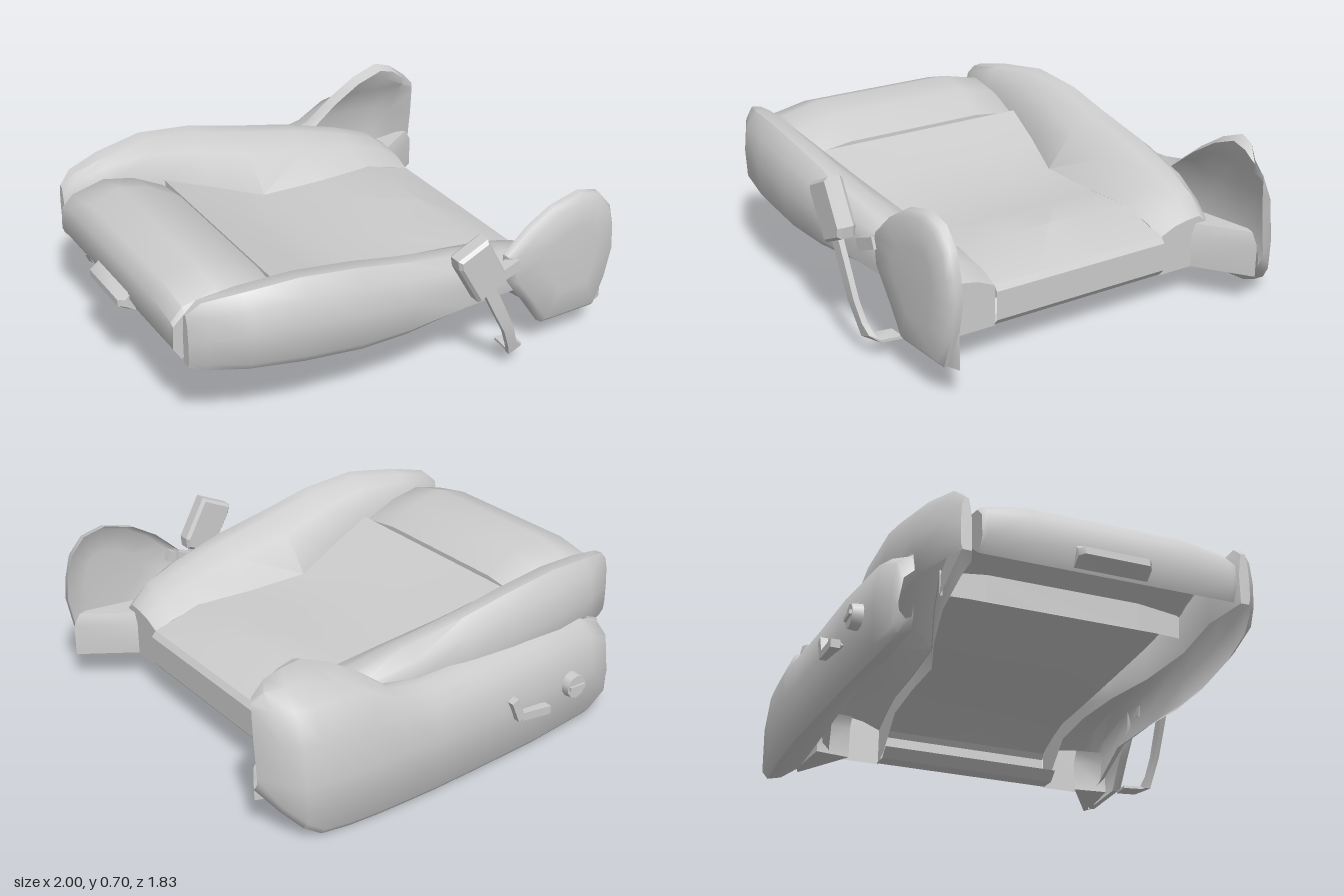
import * as THREE from 'three';
import { toCreasedNormals } from 'three/addons/utils/BufferGeometryUtils.js';

const material = new THREE.MeshStandardMaterial({ color: 0xcccccc, side: THREE.DoubleSide });
const MID = 0.037; // centre line of the cushion

function mesh(name, geometry, parent) {
  const m = new THREE.Mesh(geometry, material);
  m.name = name;
  parent.add(m);
  return m;
}

// Skin through rows of [x, y, z] points; optionally closes both ends to their centre
function loft(rows, { caps = false, ring = false, crease = 0.75 } = {}) {
  const centre = row => {
    const c = [0, 1, 2].map(k => row.reduce((s, p) => s + p[k], 0) / row.length);
    return row.map(() => c);
  };
  const all = caps ? [centre(rows[0]), ...rows, centre(rows[rows.length - 1])] : rows;
  const n = all[0].length, index = [];
  for (let i = 0; i < all.length - 1; i++) {
    for (let j = 0; j < (ring ? n : n - 1); j++) {
      const a = i * n + j, b = i * n + (j + 1) % n, c = a + n, d = b + n;
      index.push(a, b, d, a, d, c);
    }
  }
  const g = new THREE.BufferGeometry();
  g.setAttribute('position', new THREE.Float32BufferAttribute(all.flat(2), 3));
  g.setIndex(index);
  return toCreasedNormals(g, crease);
}

export function createModel() {
  const seat = new THREE.Group();
  seat.name = 'seatBase';

  // Thigh support: domed pad with drooping ends and an open underside
  const thighProfile = [[-0.92, 0.35], [-0.955, 0.42], [-0.95, 0.54], [-0.9, 0.6], [-0.76, 0.64],
    [-0.62, 0.605], [-0.48, 0.52], [-0.475, 0.4]];
  const thighRows = [[-0.54, 0.06], [-0.52, 0.04], [-0.34, 0], [0.34, 0], [0.52, 0.04], [0.54, 0.06]]
    .map(([z, droop]) => thighProfile.map(([x, y]) => [x, y - droop * (y - 0.35) / 0.29, z + MID]));
  mesh('thighSupport', loft(thighRows, { caps: true }), seat);

  // Centre cushion: x, y, half width, crown; dips in the middle and slopes off to a rear roll
  const centreProfile = [[-0.47, 0.4, 0.54, 0], [-0.465, 0.51, 0.54, 0], [-0.25, 0.44, 0.49, -0.01],
    [-0.03, 0.37, 0.425, 0], [0.3, 0.365, 0.42, 0.005], [0.53, 0.37, 0.42, 0.02], [0.745, 0.305, 0.42, 0],
    [0.765, 0.28, 0.42, 0], [0.765, 0.16, 0.42, 0], [0.745, 0.135, 0.42, 0], [0.66, 0.13, 0.42, 0], [0.61, 0.17, 0.42, 0]];
  mesh('centreCushion', loft(centreProfile.map(([x, y, w, crown]) =>
    [-1, -0.5, 0, 0.5, 1].map(t => [x, y + crown * (1 - t * t), MID + t * w])), { crease: 0.45 }), seat);

  // Side bolsters: x, inner z and y, crest z and y, outer z, lower edge y
  const bolsterStations = [
    [-0.925, 0.57, 0.48, 0.585, 0.58, 0.615, 0.35],
    [-0.87, 0.55, 0.52, 0.585, 0.63, 0.665, 0.34],
    [-0.72, 0.54, 0.55, 0.61, 0.655, 0.74, 0.33],
    [-0.5, 0.535, 0.51, 0.65, 0.675, 0.785, 0.315],
    [-0.25, 0.485, 0.44, 0.66, 0.645, 0.795, 0.29],
    [-0.03, 0.42, 0.37, 0.65, 0.595, 0.785, 0.28],
    [0.25, 0.415, 0.365, 0.63, 0.54, 0.775, 0.3],
    [0.5, 0.415, 0.37, 0.6, 0.475, 0.745, 0.29],
    [0.66, 0.415, 0.335, 0.58, 0.42, 0.71, 0.16],
    [0.745, 0.415, 0.3, 0.56, 0.35, 0.69, 0.13],
  ];
  for (const side of [-1, 1]) {
    const prefix = side > 0 ? 'left' : 'right';
    const rows = bolsterStations.map(([x, zi, yi, zc, yc, zo, yb]) => {
      const w = zo - zc, h = yc - yb;
      return [[zi, Math.max(yb, yi - 0.2)], [zi, yi], [zi + (zc - zi) * 0.55, yi + (yc - yi) * 0.66],
        [zc, yc - 0.005], [zc + w * 0.5, yc], [zc + w * 0.88, yc - h * 0.18], [zo, yc - h * 0.5],
        [zo - w * 0.05, yb + h * 0.12], [zo - w * 0.3, yb]].map(([z, y]) => [x, y, MID + side * z]);
    });
    mesh(prefix + 'Bolster', loft(rows), seat);
    for (const [end, row] of [['Front', rows[0]], ['Rear', rows[rows.length - 1]]]) {
      mesh(prefix + 'Bolster' + end, loft([row, row], { caps: true, ring: true }), seat);
    }

    // Wedge behind each bolster reaching to the rear trim
    const plan = [[0.71, 0.565], [0.98, 0.735], [0.94, 0.75], [0.69, 0.72]];
    const wedge = [[0.13, 0], [0.27, 0], [0.32, 0.03]].map(([y, inset]) =>
      plan.map(([x, z]) => [x - inset, y, MID + side * z]));
    mesh(prefix + 'RearWedge', loft(wedge, { caps: true, ring: true }), seat);
  }

  // Rounded left rear cover: rim outline shrunk in steps towards a shallow dome
  const coverOutline = [[0.45, 0.38], [0.44, 0.5], [0.55, 0.6], [0.66, 0.665], [0.8, 0.7], [0.9, 0.675],
    [0.965, 0.6], [0.99, 0.5], [1, 0.4], [0.97, 0.25], [0.92, 0.12], [0.64, 0.12], [0.55, 0.25]];
  const coverRows = [[1, 0], [0.985, 0.03], [0.9, 0.052], [0.5, 0.06], [0, 0.062]].map(([s, dz]) =>
    coverOutline.map(([x, y]) => [0.77 + (x - 0.77) * s, 0.42 + (y - 0.42) * s, 0.77 + dz]));
  mesh('leftRearCover', loft(coverRows, { ring: true, crease: 0.9 }), seat);

  // Long right side panel rising to a rounded rear lobe: x, bottom y, top y, outer z
  const panelStations = [
    [-0.775, 0.1, 0.33, -0.765], [-0.75, 0.05, 0.4, -0.785], [-0.63, 0.015, 0.445, -0.82],
    [-0.3, 0.003, 0.45, -0.86], [0, 0, 0.44, -0.885], [0.25, 0, 0.44, -0.905], [0.42, 0, 0.47, -0.912],
    [0.55, 0, 0.57, -0.915], [0.68, 0, 0.65, -0.912], [0.8, 0.008, 0.695, -0.905], [0.87, 0.05, 0.675, -0.89],
    [0.93, 0.11, 0.63, -0.83], [0.985, 0.18, 0.57, -0.73],
  ];
  const panelRows = panelStations.map(([x, yb, yt, z]) => {
    const waist = Math.min(yt - 0.06, 0.4), lean = Math.min(yt - 0.02, 0.52);
    return [[yb + 0.07, Math.max(z + 0.12, -0.74)], [yb + 0.015, z + 0.09], [yb, z + 0.03], [yb + 0.03, z + 0.004],
      [waist * 0.6, z], [waist, z + 0.018], [lean, z + 0.07], [(lean + yt) / 2, z + 0.13], [yt, z + 0.15],
      [yt - 0.02, z + 0.2]]
      .map(([y, pz]) => [x, y, Math.min(pz, -0.705)]);
  });
  mesh('sidePanel', loft(panelRows, { crease: 0.9 }), seat);

  // Lumbar knob and adjustment switches on the side panel
  const knob = mesh('lumbarKnob', new THREE.CylinderGeometry(0.05, 0.06, 0.08, 10), seat);
  knob.rotation.x = -Math.PI / 2;
  knob.position.set(-0.49, 0.22, -0.835);
  const knobGrip = mesh('knobGrip', new THREE.BoxGeometry(0.08, 0.018, 0.02), seat);
  knobGrip.position.set(-0.49, 0.22, -0.875);
  const switches = [['cushionSwitch', -0.25, 0.185, 0.15, 0.035, 0.1], ['backrestSwitch', -0.15, 0.23, 0.035, 0.1, -0.4]];
  for (const [name, x, y, w, h, turn] of switches) {
    const s = mesh(name, new THREE.BoxGeometry(w, h, 0.04), seat);
    s.position.set(x, y, -0.88);
    s.rotation.z = turn;
  }

  // Housing of the switches on the inner side of the panel
  const housing = [-0.86, -0.83].map(z => [[-0.35, 0.16], [-0.16, 0.16], [-0.11, 0.28], [-0.22, 0.27]].map(([x, y]) => [x, y, z]));
  mesh('switchHousing', loft(housing, { caps: true, ring: true }), seat);

  // Release handle under the front edge
  mesh('frontHandle', loft([-0.12, -0.1, 0.17, 0.19].map((z, i) => {
    const x = i === 0 || i === 3 ? -0.975 : -1;
    return [[-0.94, 0.45], [x, 0.42], [x, 0.39], [-0.93, 0.36]].map(([px, y]) => [px, y, z]);
  }), { caps: true, ring: true }), seat);

  // Belt buckle on a stalk that bends inwards at its foot
  const buckle = new THREE.Group();
  buckle.name = 'beltBuckle';
  seat.add(buckle);
  const outline = new THREE.Shape([[-0.065, -0.1], [0.05, -0.11], [0.07, -0.08], [0.07, 0.11], [-0.06, 0.12], [-0.07, 0.09]]
    .map(([x, y]) => new THREE.Vector2(x, y)));
  const head = mesh('buckleHead', new THREE.ExtrudeGeometry(outline,
    { depth: 0.05, bevelThickness: 0.015, bevelSize: 0.012, bevelSegments: 1 }), buckle);
  head.position.set(0.245, 0.54, 0.845);
  head.rotation.z = 0.5;

  const stalkPath = [[0.28, 0.46, 0.88, 0.025], [0.34, 0.34, 0.88, 0.025], [0.4, 0.22, 0.88, 0.022],
    [0.435, 0.13, 0.865, 0.02], [0.46, 0.085, 0.855, 0.03], [0.48, 0.075, 0.83, 0.04], [0.49, 0.072, 0.74, 0.04]];
  const stalkRows = stalkPath.map(([x, y, z, w], i) => {
    const t = i > 4 ? 0.006 : 0.012;
    return i > 4
      ? [[x - w, y - t, z], [x + w, y - t, z], [x + w, y + t, z], [x - w, y + t, z]]
      : [[x - w, y - w * 0.4, z + t], [x + w, y + w * 0.4, z + t], [x + w, y + w * 0.4, z - t], [x - w, y - w * 0.4, z - t]];
  });
  mesh('buckleStalk', loft(stalkRows, { caps: true, ring: true, crease: 0.5 }), buckle);

  // Bracket joining the left rear cover to the bolster
  const bracket = mesh('hingeBracket', new THREE.BoxGeometry(0.13, 0.05, 0.05), seat);
  bracket.position.set(0.42, 0.45, 0.81);
  bracket.rotation.z = 0.35;

  return seat;
}
